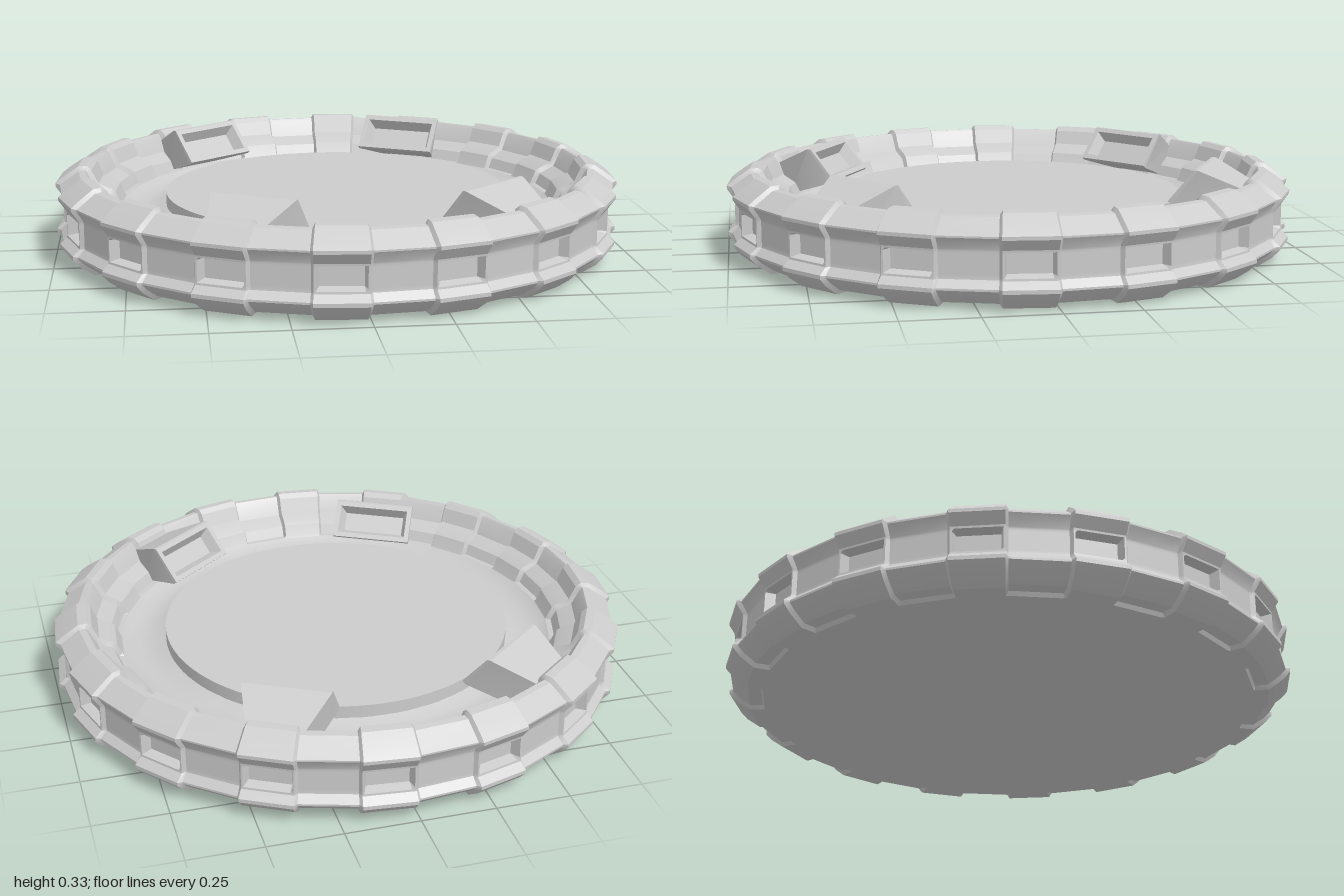
import * as THREE from 'three';
import { toCreasedNormals } from 'three/addons/utils/BufferGeometryUtils.js';

const PANELS = 32;
const STEP = (Math.PI * 2) / PANELS;
const material = () => new THREE.MeshStandardMaterial({ color: 0xcccccc });

// Rim cross-section: radius, height, recess offset (dr, dy), slot depth.
const rim = [
  [0.6, 0.16, 0, 0, 0], [0.65, 0.14, 0, 0, 0], [0.7, 0.135, 0, 0, 0], [0.745, 0.145, 0, 0, 0],
  [0.768, 0.158, 0, 0, 0], [0.772, 0.165, 0.014, -0.006, 0], [0.79, 0.205, 0.014, -0.01, 0],
  [0.805, 0.215, 0.01, -0.014, 0], [0.85, 0.235, 0.008, -0.014, 0], [0.872, 0.285, 0.014, -0.008, 0],
  [0.89, 0.3, 0.004, -0.014, 0], [0.92, 0.297, -0.004, -0.014, 0], [0.975, 0.26, -0.012, -0.01, 0],
  [1.0, 0.24, -0.016, -0.004, 0], [1.0, 0.228, -0.016, 0.002, 0], [0.975, 0.192, -0.014, 0, 0],
  [0.974, 0.185, -0.014, 0, 0], [0.974, 0.177, -0.014, 0, 0.035], [0.974, 0.112, -0.014, 0, 0.035],
  [0.974, 0.104, -0.014, 0, 0], [0.975, 0.097, -0.014, 0, 0], [1.0, 0.075, -0.016, -0.002, 0],
  [1.0, 0.062, -0.016, 0.004, 0], [0.975, 0.035, -0.012, 0.01, 0], [0.925, 0.0, -0.005, 0.014, 0],
  [0.875, 0.0, 0, 0.014, 0], [0.868, 0.0, 0, 0, 0], [0.605, 0.0, 0, 0, 0],
];

// Columns of one raised panel: place along the panel, raised amount, slot amount.
const raisedColumns = [
  [0, 0, 0], [0.05, 1, 0], [0.08, 1, 0], [0.12, 1, 1],
  [0.88, 1, 1], [0.92, 1, 0], [0.95, 1, 0], [1, 0, 0],
];

// Joins equal-length rows of points into a surface.
function loft(rows, closed, cap, crease) {
  const n = rows[0].length;
  const index = [];
  for (let i = 0; i < rows.length - 1; i++) {
    for (let j = 0; j < (closed ? n : n - 1); j++) {
      const k = (j + 1) % n;
      const a = i * n + j, b = i * n + k, c = a + n, d = b + n;
      index.push(a, b, c, b, d, c);
    }
  }
  if (cap) {
    const s = (rows.length - 1) * n;
    index.push(s, s + 1, s + 2, s, s + 2, s + 3);
  }
  const geometry = new THREE.BufferGeometry();
  geometry.setAttribute('position', new THREE.Float32BufferAttribute(rows.flat(2), 3));
  geometry.setIndex(index);
  return toCreasedNormals(geometry, crease);
}

// Ring of flat panels, alternately raised with a slot and plainly recessed.
function rimGeometry() {
  const columns = [];
  for (let p = 0; p < PANELS; p++) {
    const start = (p - 1) * STEP;
    const list = p % 2 === 0 ? raisedColumns : [[0.5, 0, 0]];
    for (const [t, raised, slot] of list) {
      const angle = start + t * STEP;
      const chord = Math.cos(STEP / 2) / Math.cos((t - 0.5) * STEP);
      columns.push(rim.map(([r, y, dr, dy, depth]) => {
        const radius = (r + dr * (1 - raised) - depth * slot) * chord;
        return [radius * Math.sin(angle), y + dy * (1 - raised), radius * Math.cos(angle)];
      }));
    }
  }
  columns.push(columns[0]);
  return loft(columns, false, false, 0.45);
}

// Wedge block that narrows towards the rim, with a sunken inner face.
function blockGeometry() {
  const quad = (half, topY, topZ, lowY, lowZ) => [
    [-half, topY, topZ], [half, topY, topZ], [half, lowY, lowZ], [-half, lowY, lowZ],
  ];
  const face = (inset, depth) => {
    const y = 0.63 * depth, z = -0.77 * depth;
    const a = inset * 0.77, b = inset * 0.63;
    return quad(0.15 - inset, 0.33 - a - y, 0.71 - b - z, 0.22 + a - y, 0.62 + b - z);
  };
  return loft([
    quad(0.095, 0.265, 0.865, 0.15, 0.82),
    quad(0.15, 0.33, 0.722, 0.21, 0.632),
    face(0, 0), face(0.018, 0), face(0.036, 0.04),
  ], true, true, 0.3);
}

export function createModel() {
  const group = new THREE.Group();
  const add = (name, geometry) => {
    const mesh = new THREE.Mesh(geometry, material());
    mesh.name = name;
    group.add(mesh);
    return mesh;
  };

  add('panelledRim', rimGeometry());

  // Solid centre, flush with the underside
  add('centreDisc', new THREE.CylinderGeometry(0.61, 0.61, 0.2, 96)).position.y = 0.1;

  // Four blocks, each in line with a raised panel
  const block = blockGeometry();
  for (const turn of [2, 7, 10, 15]) {
    add('rimBlock', block).rotation.y = (turn * 2 - 0.5) * STEP;
  }
  return group;
}
